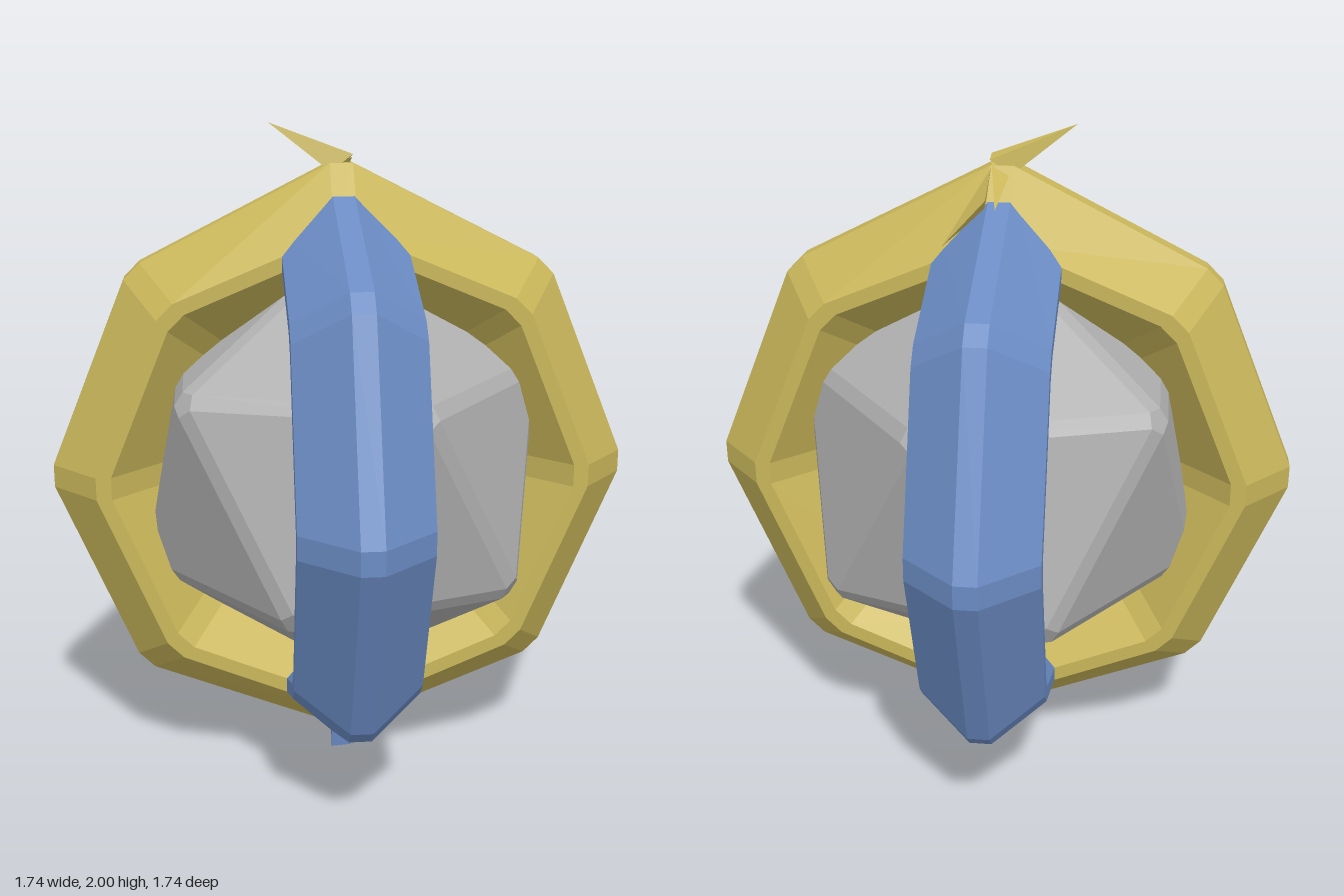
import * as THREE from 'three';
import { ConvexGeometry } from 'three/addons/geometries/ConvexGeometry.js';

const CENTRE = 0.965;

function material(name, color) {
  const m = new THREE.MeshStandardMaterial({ color });
  m.name = name;
  return m;
}

// Octagonal hoop with a chamfered diamond section and chamfered corners.
// topExtra and bottomExtra pull the outer edge of the pole corners outward.
function hoopGeometry(topExtra, bottomExtra) {
  const section = [
    [0.87, -0.032], [0.87, 0.032], [0.735, 0.183], [0.69, 0.183],
    [0.54, 0.032], [0.54, -0.032], [0.69, -0.183], [0.735, -0.183],
  ];
  const stations = [];
  for (let i = 0; i < 8; i++) {
    const a = (i * Math.PI) / 4;
    const extra = i === 2 ? topExtra : i === 6 ? bottomExtra : 0;
    for (const side of [-0.034, 0.034]) {
      stations.push(section.map(([r, z], k) => {
        const radius = r + (k < 2 ? extra : 0);
        return [
          radius * Math.cos(a) - side * Math.sin(a),
          radius * Math.sin(a) + side * Math.cos(a),
          z,
        ];
      }));
    }
  }
  const pos = [];
  stations.forEach((cur, i) => {
    const next = stations[(i + 1) % stations.length];
    for (let k = 0; k < 8; k++) {
      const n = (k + 1) % 8;
      pos.push(...cur[k], ...next[k], ...next[n], ...cur[k], ...next[n], ...cur[n]);
    }
  });
  const g = new THREE.BufferGeometry();
  g.setAttribute('position', new THREE.Float32BufferAttribute(pos, 3));
  g.computeVertexNormals();
  return g;
}

// Icosahedron standing on a vertex, with its edges and corners chamfered.
function coreGeometry(R, chamfer) {
  const ring = (y, start) => Array.from({ length: 5 }, (_, i) => {
    const a = start + (i * Math.PI * 2) / 5;
    const r = R * 0.8944;
    return new THREE.Vector3(r * Math.cos(a), y, r * Math.sin(a));
  });
  const up = ring(R * 0.4472, 0);
  const low = ring(-R * 0.4472, Math.PI / 5);
  const top = new THREE.Vector3(0, R, 0);
  const bottom = new THREE.Vector3(0, -R, 0);
  const points = [];
  for (let i = 0; i < 5; i++) {
    const j = (i + 1) % 5;
    const faces = [
      [top, up[i], up[j]], [up[i], up[j], low[i]],
      [low[i], low[j], up[j]], [bottom, low[i], low[j]],
    ];
    for (const f of faces) {
      const c = new THREE.Vector3().add(f[0]).add(f[1]).add(f[2]).divideScalar(3);
      f.forEach((v) => points.push(v.clone().lerp(c, chamfer)));
    }
  }
  return new ConvexGeometry(points);
}

const hull = (pts) => new ConvexGeometry(pts.map((p) => new THREE.Vector3(...p)));

export function createModel() {
  const model = new THREE.Group();
  const gold = material('gold', 0xc9b65a);
  const blue = material('blue', 0x6b8cc4);
  const grey = material('grey', 0xb0b0b0);

  const add = (name, geometry, mat, y = 0) => {
    const mesh = new THREE.Mesh(geometry, mat);
    mesh.name = name;
    mesh.position.y = y;
    model.add(mesh);
    return mesh;
  };

  add('core', coreGeometry(0.68, 0.12), grey, CENTRE);
  add('goldHoop', hoopGeometry(0.05, -0.01), gold, CENTRE);
  add('blueHoop', hoopGeometry(-0.01, 0.02), blue, CENTRE).rotation.y = Math.PI / 2;

  // Crooked thorns at the crown
  add('sideThorn', hull([
    [-0.21, 2, 0], [0.035, 1.91, 0.02], [0.035, 1.9, -0.03], [-0.03, 1.86, 0.03], [-0.03, 1.86, -0.03],
  ]), gold);
  add('backThorn', hull([
    [0, 1.8, -0.21], [-0.03, 1.88, 0], [0.035, 1.9, 0], [0, 1.82, -0.05],
  ]), gold);
  add('crownWeb', hull([
    [0.03, 1.89, -0.02], [0.035, 1.81, -0.145], [0.175, 1.66, -0.16], [0.17, 1.72, -0.03], [0.05, 1.7, -0.05],
  ]), gold);

  // Small knot at the foot
  add('footKnot', hull([
    [-0.03, 0.1, -0.03], [0.035, 0.1, -0.03], [-0.03, 0.1, 0.03], [0.035, 0.1, 0.03],
    [-0.03, 0.01, 0.02], [0.03, 0.02, 0.03], [-0.02, 0.02, -0.03], [0.02, 0, -0.03],
  ]), blue);

  return model;
}
